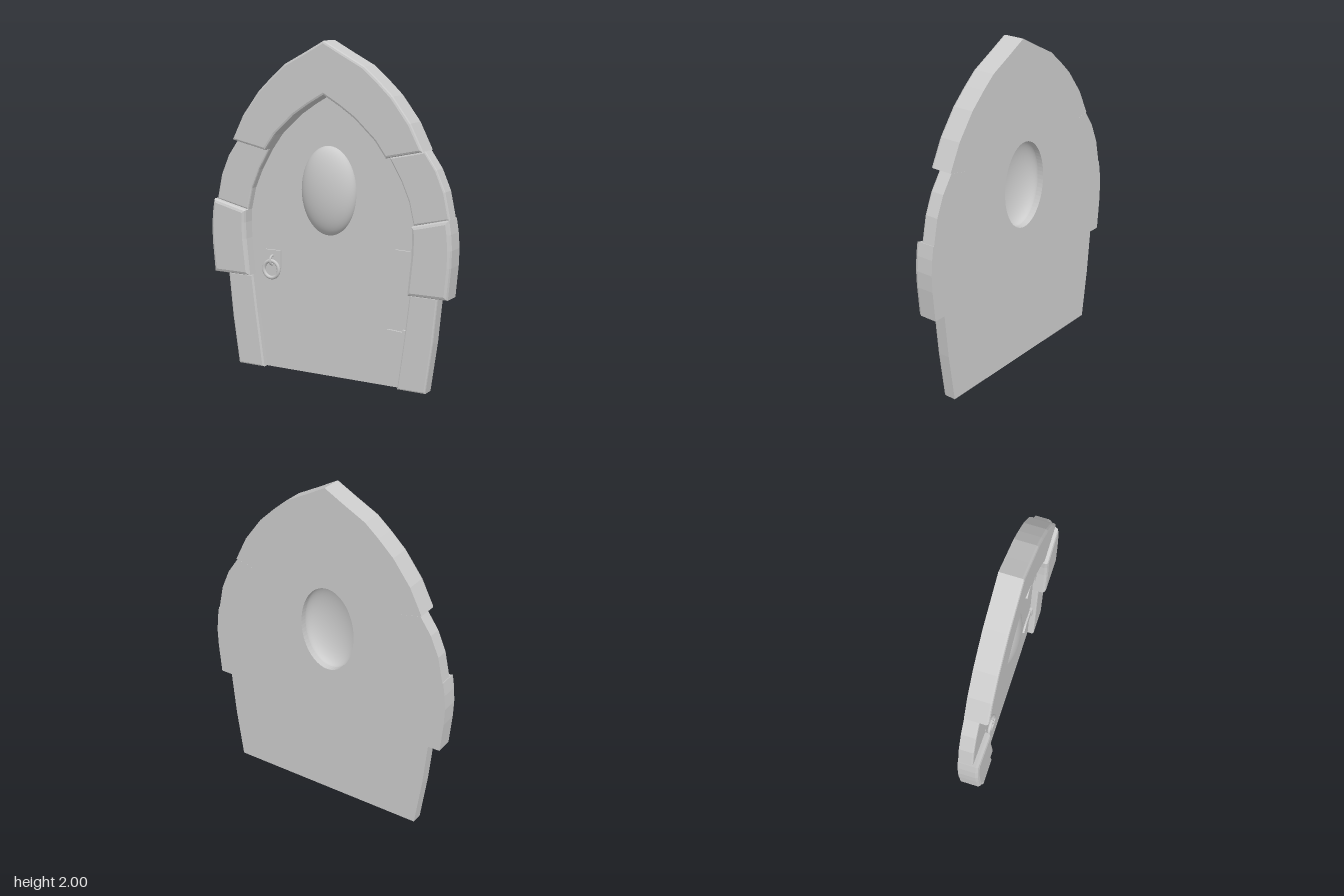
import * as THREE from 'three';

const BACK = -0.07;   // flat rear plane
const DOOR = -0.03;   // front of the door leaf
const grey = new THREE.MeshStandardMaterial({ color: 0xcccccc });
const thin = new THREE.MeshStandardMaterial({ color: 0xcccccc, side: THREE.DoubleSide });

const mirror = (pts) => pts.map(([x, y]) => [-x, y]).reverse();
const shapeOf = (pts) => new THREE.Shape(pts.map(([x, y]) => new THREE.Vector2(x, y)));

function add(parent, name, geometry, x = 0, y = 0, z = 0, material = grey) {
  const mesh = new THREE.Mesh(geometry, material);
  mesh.name = name;
  mesh.position.set(x, y, z);
  parent.add(mesh);
  return mesh;
}

// Slab from z0 to z1 with a bevelled front edge and a flat back
function slab(shape, z0, z1, bevel) {
  const geo = new THREE.ExtrudeGeometry(shape, {
    depth: z1 - z0 - bevel, curveSegments: 32, bevelEnabled: bevel > 0,
    bevelThickness: bevel, bevelSize: bevel, bevelOffset: -bevel, bevelSegments: 2,
  });
  const p = geo.attributes.position;
  for (let i = 0; i < p.count; i++) p.setZ(i, Math.max(0, p.getZ(i)) + z0);
  geo.computeVertexNormals();
  return geo;
}

// Outlines for the +x half, each running upward
const inner = {
  foot: [[0.455, 0], [0.5, 0.33], [0.53, 0.575]],
  side: [[0.53, 0.575], [0.553, 0.8], [0.557, 0.9], [0.553, 0.975]],
  middle: [[0.553, 0.975], [0.522, 1.11], [0.472, 1.225], [0.398, 1.352]],
  top: [[0.398, 1.352], [0.33, 1.445], [0.2, 1.565], [0.1, 1.632], [0, 1.69]],
};
const outer = {
  foot: [[0.635, 0], [0.678, 0.3], [0.705, 0.575]],
  side: [[0.78, 0.575], [0.797, 0.76], [0.8, 0.86], [0.793, 0.95], [0.78, 1.03]],
  middle: [[0.775, 1.025], [0.742, 1.18], [0.69, 1.3], [0.62, 1.4]],
  top: [[0.627, 1.402], [0.55, 1.555], [0.44, 1.7], [0.345, 1.79], [0.26, 1.862], [0.12, 1.935], [0, 2]],
};

function addFrame(group) {
  const fronts = { foot: [0.01, 0.01], side: [0.055, 0.02], middle: [0.018, 0.01] };
  for (const key of Object.keys(fronts)) {
    const [front, bevel] = fronts[key];
    const pts = [...outer[key], ...[...inner[key]].reverse()];
    add(group, key + 'StoneLeft', slab(shapeOf(pts), BACK, front, bevel));
    add(group, key + 'StoneRight', slab(shapeOf(mirror(pts)), BACK, front, bevel));
  }
  // Pointed arch across both halves
  const arch = [
    ...outer.top, ...mirror(outer.top).slice(1),
    ...mirror(inner.top).reverse(), ...[...inner.top].reverse().slice(1),
  ];
  add(group, 'archStone', slab(shapeOf(arch), BACK, 0.07, 0.014));
}

function addDoor(group) {
  const half = [...inner.foot, ...inner.side.slice(1), ...inner.middle.slice(1), ...inner.top.slice(1)];
  const leaf = shapeOf([...half, ...mirror(half).slice(1)]);
  leaf.holes.push(new THREE.Path().absellipse(-0.015, 1.125, 0.18, 0.265, 0, Math.PI * 2, true));
  add(group, 'doorLeaf', slab(leaf, BACK, DOOR, 0));

  // Bulging oval window, hollow behind
  const dome = new THREE.SphereGeometry(1, 48, 16, 0, Math.PI * 2, 0, Math.PI / 2)
    .rotateX(Math.PI / 2).scale(0.182, 0.266, 0.088);
  add(group, 'window', dome, -0.015, 1.125, DOOR - 0.005, thin);
}

// Pointed strap with a knuckle plate; origin at the plate
function addHinge(group, name, x, y, tilt) {
  const hinge = new THREE.Group();
  hinge.name = name;
  const strap = shapeOf([[0, -0.03], [0, 0.03], [-0.1, 0.033], [-0.147, 0], [-0.1, -0.026]].reverse());
  add(hinge, 'strap', slab(strap, 0, 0.012, 0));
  add(hinge, 'knuckle', new THREE.BoxGeometry(0.02, 0.09, 0.018), 0.01, 0, 0.009);
  hinge.position.set(x, y, DOOR);
  hinge.rotation.z = tilt;
  group.add(hinge);
}

function addHandle(group) {
  const handle = new THREE.Group();
  handle.name = 'handle';
  add(handle, 'backPlate', new THREE.BoxGeometry(0.108, 0.112, 0.012), 0, 0.06, 0.006);
  add(handle, 'staple', new THREE.TorusGeometry(0.028, 0.007, 8, 20).rotateY(Math.PI / 2), 0, 0.055, 0.018);
  add(handle, 'ring', new THREE.TorusGeometry(0.052, 0.011, 10, 32), 0, 0, 0.03);
  handle.position.set(-0.4, 0.62, DOOR);
  group.add(handle);
}

export function createModel() {
  const model = new THREE.Group();
  model.name = 'archedDoor';
  addFrame(model);
  addDoor(model);
  addHinge(model, 'upperHinge', 0.525, 0.787, 0);
  addHinge(model, 'lowerHinge', 0.475, 0.308, -0.04);
  addHandle(model);
  return model;
}
